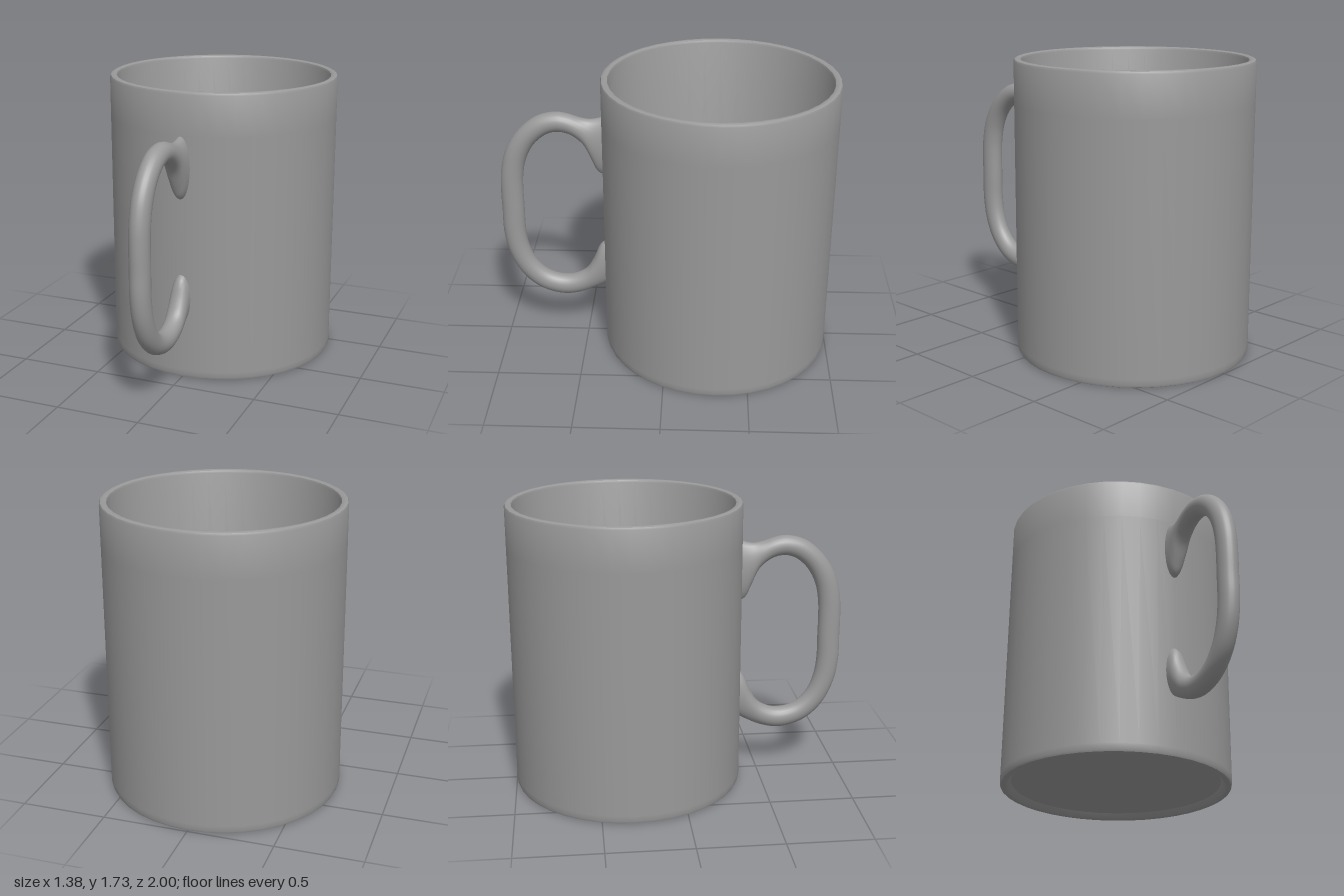
import * as THREE from 'three';
import { toCreasedNormals } from 'three/addons/utils/BufferGeometryUtils.js';

const CENTRE_Z = -0.31;
const material = new THREE.MeshStandardMaterial({ color: 0x999999 });

// Closed wall profile: recessed underside, foot ring, outside, rim, inside, floor
function cupGeometry() {
  const profile = [
    [0, 0.035], [0.625, 0.035], [0.648, 0.005], [0.657, 0],
    [0.675, 0], [0.685, 0.005], [0.69, 0.018], [0.69, 0.05], [0.69, 1.48],
    [0.69, 1.713], [0.685, 1.725], [0.675, 1.73],
    [0.66, 1.73], [0.65, 1.725], [0.645, 1.713],
    [0.645, 0.2], [0.635, 0.14], [0.6, 0.08], [0, 0.08],
  ].map(([r, y]) => new THREE.Vector2(r, y));
  return toCreasedNormals(new THREE.LatheGeometry(profile, 40), 0.65);
}

// Handle lofted with elliptical rings between its outer and inner outlines
function handleGeometry() {
  const outline = (pairs) => new THREE.CatmullRomCurve3(pairs.map(([z, y]) => new THREE.Vector3(0, y, z)));
  const outer = outline([
    [0.35, 1.49], [0.39, 1.472], [0.45, 1.46], [0.51, 1.468], [0.58, 1.49], [0.65, 1.5], [0.76, 1.475],
    [0.87, 1.39], [0.95, 1.27], [0.99, 1.13], [1, 1], [1, 0.86], [1, 0.72], [0.975, 0.57], [0.91, 0.43],
    [0.81, 0.33], [0.7, 0.283], [0.61, 0.274], [0.52, 0.293], [0.45, 0.322], [0.39, 0.352], [0.35, 0.375],
  ]);
  const inner = outline([
    [0.35, 1.1], [0.405, 1.122], [0.44, 1.19], [0.49, 1.3], [0.57, 1.365], [0.65, 1.38], [0.72, 1.355],
    [0.79, 1.29], [0.84, 1.19], [0.86, 1.09], [0.865, 1], [0.865, 0.86], [0.865, 0.72], [0.85, 0.61],
    [0.81, 0.51], [0.74, 0.435], [0.66, 0.405], [0.58, 0.408], [0.5, 0.45], [0.45, 0.53], [0.405, 0.63], [0.35, 0.67],
  ]);
  const rings = 84, sides = 24, halfWidth = 0.058;
  const positions = [], indices = [];
  for (let i = 0; i <= rings; i++) {
    const a = outer.getPoint(i / rings), b = inner.getPoint(i / rings);
    for (let j = 0; j < sides; j++) {
      const angle = (j / sides) * Math.PI * 2;
      const p = b.clone().lerp(a, 0.5 + 0.5 * Math.cos(angle));
      positions.push(halfWidth * Math.sin(angle), p.y, p.z);
      if (i === rings) continue;
      const k = (j + 1) % sides, row = i * sides, next = row + sides;
      indices.push(row + j, next + j, row + k, next + j, next + k, row + k);
    }
  }
  const geometry = new THREE.BufferGeometry();
  geometry.setAttribute('position', new THREE.Float32BufferAttribute(positions, 3));
  geometry.setIndex(indices);
  geometry.computeVertexNormals();
  return geometry;
}

export function createModel() {
  const mug = new THREE.Group();
  mug.name = 'mug';

  const cup = new THREE.Mesh(cupGeometry(), material);
  cup.name = 'cup';
  cup.position.z = CENTRE_Z;

  // Both handle ends are buried in the cup wall
  const handle = new THREE.Mesh(handleGeometry(), material);
  handle.name = 'handle';

  mug.add(cup, handle);
  return mug;
}
